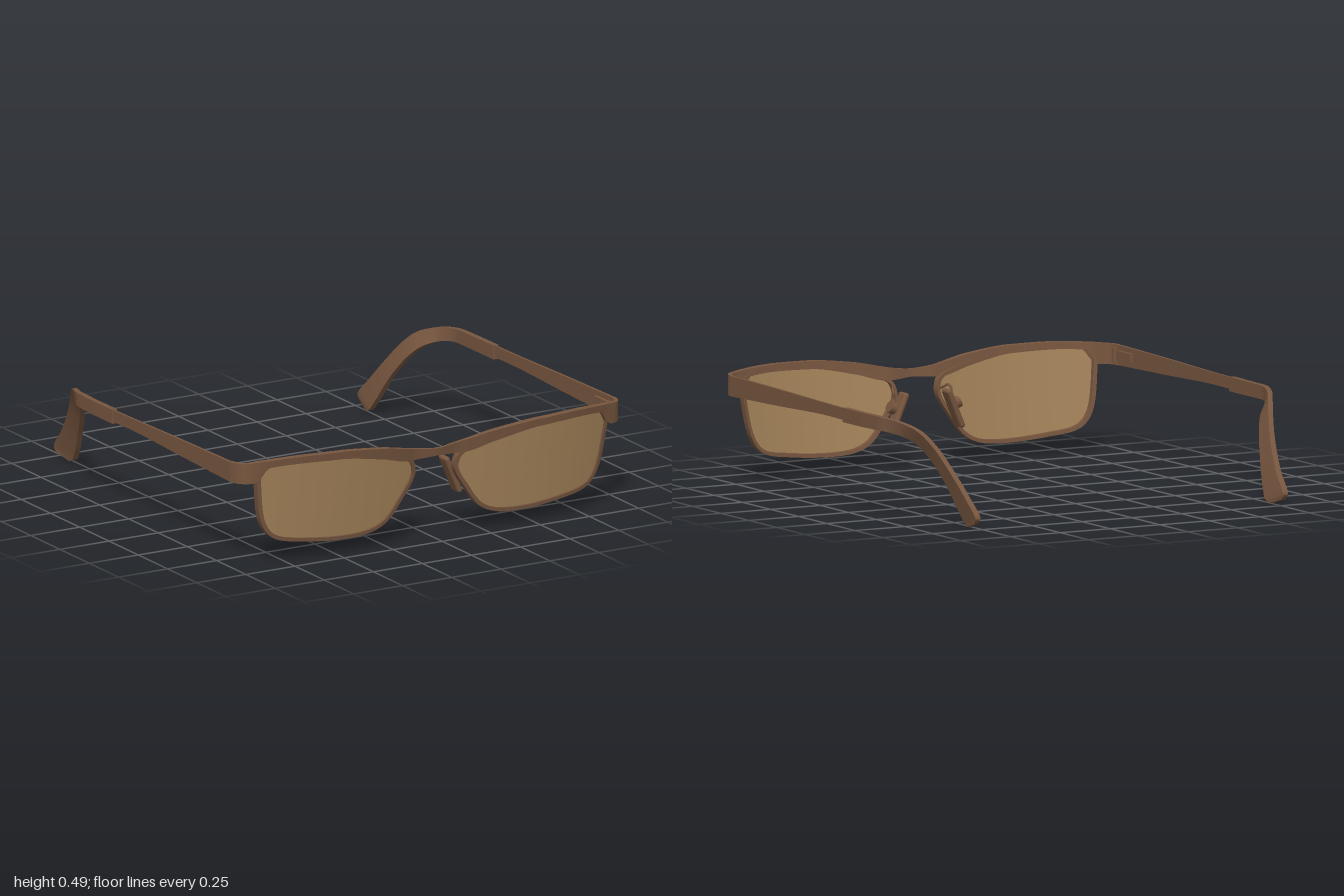
import * as THREE from 'three';
import { toCreasedNormals } from 'three/addons/utils/BufferGeometryUtils.js';
import { RoundedBoxGeometry } from 'three/addons/geometries/RoundedBoxGeometry.js';

const V = (x, y, z) => new THREE.Vector3(x, y, z);

// Smoothly interpolate rows of six numbers
function sampleRows(rows, n) {
  const a = new THREE.CatmullRomCurve3(rows.map(r => V(r[0], r[1], r[2])));
  const b = new THREE.CatmullRomCurve3(rows.map(r => V(r[3], r[4], r[5])));
  return Array.from({ length: n + 1 }, (_, i) => [...a.getPoint(i / n).toArray(), ...b.getPoint(i / n).toArray()]);
}

// Skin a list of equal-sized cross-sections, facing outwards whichever side it is built on
function loft(sections, closed) {
  const m = sections[0].length, n = sections.length, idx = [];
  const pts = sections.flat();
  for (let i = 0; i < (closed ? n : n - 1); i++) {
    for (let j = 0; j < m; j++) {
      const a = i * m + j, b = i * m + (j + 1) % m;
      const c = ((i + 1) % n) * m + j, d = ((i + 1) % n) * m + (j + 1) % m;
      idx.push(a, b, c, b, d, c);
    }
  }
  if (!closed) {
    const e = (n - 1) * m;
    for (let j = 1; j < m - 1; j++) idx.push(0, j + 1, j, e, e + j, e + j + 1);
  }
  let volume = 0;
  for (let i = 0; i < idx.length; i += 3) {
    volume += pts[idx[i]].dot(V().crossVectors(pts[idx[i + 1]], pts[idx[i + 2]]));
  }
  if (volume < 0) idx.reverse();
  const g = new THREE.BufferGeometry().setFromPoints(pts);
  g.setIndex(idx);
  return toCreasedNormals(g, 0.6);
}

// Bowed, tilted surface that the rims and lenses follow
const TILT = 0.15;
function faceZ(x, y) {
  const d = Math.abs(x) - 0.45;
  return 0.991 - (d > 0 ? 0.33 : 0.25) * d * d - TILT * (0.46 - y);
}

// Lens edge on the +x side
const LENS = [
  [0.116, 0.33], [0.135, 0.37], [0.27, 0.41], [0.485, 0.45], [0.7, 0.457], [0.84, 0.45],
  [0.874, 0.415], [0.872, 0.34], [0.84, 0.18], [0.79, 0.122], [0.64, 0.092], [0.43, 0.078],
  [0.31, 0.09], [0.24, 0.125], [0.17, 0.215], [0.12, 0.295],
];
const EDGE = new THREE.CatmullRomCurve3(LENS.map(p => V(p[0], p[1], 0)), true).getPoints(96).slice(0, 96);

function rimGeometry(s) {
  const n = EDGE.length;
  return loft(EDGE.map((p, i) => {
    const t = EDGE[(i + 1) % n].clone().sub(EDGE[(i + n - 1) % n]).normalize();
    const at = (w, dz) => {
      const x = p.x - t.y * w, y = p.y + t.x * w;
      return V(s * x, y, faceZ(x, y) + dz);
    };
    return [at(0.015, 0), at(-0.002, 0), at(-0.002, -0.032), at(0.015, -0.032)];
  }), true);
}

function lensGeometry(s) {
  const n = EDGE.length, rings = 8, pts = [], idx = [];
  for (let r = 0; r <= rings; r++) {
    for (const p of EDGE) {
      const x = 0.5 + (p.x - 0.5) * r / rings, y = 0.27 + (p.y - 0.27) * r / rings;
      pts.push(V(s * x, y, faceZ(x, y) - 0.012));
    }
  }
  for (let r = 0; r < rings; r++) {
    for (let j = 0; j < n; j++) {
      const a = r * n + j, b = r * n + (j + 1) % n, c = a + n, d = b + n;
      const tris = r ? [a, b, c, b, d, c] : [b, d, c];
      idx.push(...(s > 0 ? tris : tris.reverse()));
    }
  }
  const g = new THREE.BufferGeometry().setFromPoints(pts);
  g.setIndex(idx);
  g.computeVertexNormals();
  return g;
}

// Brow bar with bridge and wrapped ends: x, z, tilt, top y, bottom y, thickness
function browGeometry() {
  const half = [
    [0.1, 0.962, TILT, 0.427, 0.376, 0.016], [0.16, 0.971, TILT, 0.438, 0.378, 0.022],
    [0.27, 0.984, TILT, 0.46, 0.408, 0.03], [0.485, 0.993, TILT, 0.483, 0.448, 0.034],
    [0.7, 0.972, TILT, 0.486, 0.454, 0.034], [0.84, 0.943, TILT, 0.48, 0.447, 0.032],
    [0.88, 0.931, 0.1, 0.477, 0.4, 0.03], [0.91, 0.921, 0.06, 0.474, 0.38, 0.026],
    [0.945, 0.905, 0.02, 0.471, 0.379, 0.022], [0.97, 0.876, 0, 0.47, 0.379, 0.02],
    [0.982, 0.83, 0, 0.469, 0.378, 0.018],
  ];
  const mirrored = half.map(r => [-r[0], ...r.slice(1)]).reverse();
  const rows = sampleRows([...mirrored, [0, 0.972, TILT, 0.417, 0.382, 0.012], ...half], 132);
  return loft(rows.map(([x, z, k, top, bottom, w], i) => {
    const p = rows[Math.max(i - 1, 0)], q = rows[Math.min(i + 1, rows.length - 1)];
    const dx = q[0] - p[0], dz = q[1] - p[1], l = Math.hypot(dx, dz);
    const at = (y, o) => V(x + dz / l * o, y, z + k * (y - 0.46) - dx / l * o);
    return [at(top, 0), at(bottom, 0), at(bottom, w), at(top, w)];
  }), false);
}

// Temple pieces: top z, top y, bottom z, bottom y, outer x, thickness
const ARM = [
  [0.828, 0.468, 0.828, 0.378, 0.981, 0.014], [0.4, 0.461, 0.4, 0.388, 0.979, 0.012],
  [0, 0.452, 0, 0.399, 0.977, 0.011], [-0.2, 0.449, -0.2, 0.397, 0.978, 0.011],
];
const TIP = [
  [-0.17, 0.453, -0.17, 0.389, 0.984, 0.026], [-0.34, 0.451, -0.34, 0.389, 0.983, 0.026],
  [-0.48, 0.45, -0.48, 0.39, 0.977, 0.025], [-0.58, 0.438, -0.56, 0.38, 0.943, 0.024],
  [-0.67, 0.405, -0.62, 0.35, 0.895, 0.024], [-0.74, 0.345, -0.68, 0.29, 0.858, 0.024],
  [-0.82, 0.252, -0.755, 0.19, 0.824, 0.025], [-0.92, 0.138, -0.83, 0.068, 0.796, 0.026],
  [-1, 0.052, -0.875, 0.012, 0.786, 0.026], [-0.985, 0.026, -0.905, 0.001, 0.785, 0.022],
];
function templeGeometry(rows, s, n) {
  return loft(sampleRows(rows, n).map(([zt, yt, zb, yb, x, w]) => {
    const lean = 0.018 * THREE.MathUtils.smoothstep(-zt, 0.45, 0.85);
    return [V(s * x, yt, zt), V(s * (x - lean), yb, zb), V(s * (x - lean - w), yb, zb), V(s * (x - w), yt, zt)];
  }), false);
}

export function createModel() {
  const frame = new THREE.MeshStandardMaterial({ color: 0x77563f });
  frame.name = 'brownFrame';
  const tint = new THREE.MeshStandardMaterial({ color: 0xa5845a, side: THREE.DoubleSide });
  tint.name = 'amberLens';

  const model = new THREE.Group();
  model.name = 'glasses';
  const add = (name, geometry, material = frame, x = 0, y = 0, z = 0) => {
    const mesh = new THREE.Mesh(geometry, material);
    mesh.name = name;
    mesh.position.set(x, y, z);
    model.add(mesh);
    return mesh;
  };

  add('browBar', browGeometry());
  for (const s of [1, -1]) {
    const side = s > 0 ? 'left' : 'right';
    add(side + 'Rim', rimGeometry(s));
    add(side + 'Lens', lensGeometry(s), tint);
    add(side + 'TempleArm', templeGeometry(ARM, s, 24));
    add(side + 'TempleTip', templeGeometry(TIP, s, 60));

    // Hinge plate and barrel
    add(side + 'HingePlate', new THREE.BoxGeometry(0.016, 0.04, 0.13), frame, s * 0.96, 0.425, 0.765);
    add(side + 'HingeBarrel', new THREE.CylinderGeometry(0.012, 0.012, 0.06, 16), frame, s * 0.956, 0.425, 0.838);

    // Nose pad, its mount and the bent wire to the rim
    const pad = add(side + 'NosePad', new RoundedBoxGeometry(0.026, 0.185, 0.068, 4, 0.0125), frame, s * 0.14, 0.248, 0.835);
    pad.rotation.z = s * 0.4;
    const mount = add(side + 'PadMount', new THREE.CylinderGeometry(0.026, 0.026, 0.03, 20), frame, s * 0.162, 0.268, 0.848);
    mount.rotation.z = Math.PI / 2 + s * 0.4;
    const wire = new THREE.CatmullRomCurve3([
      V(s * 0.113, 0.325, 0.925), V(s * 0.125, 0.335, 0.9), V(s * 0.14, 0.347, 0.88),
      V(s * 0.145, 0.33, 0.862), V(s * 0.14, 0.3, 0.865), V(s * 0.165, 0.268, 0.85),
    ]);
    add(side + 'PadWire', new THREE.TubeGeometry(wire, 32, 0.006, 8));
  }
  return model;
}
